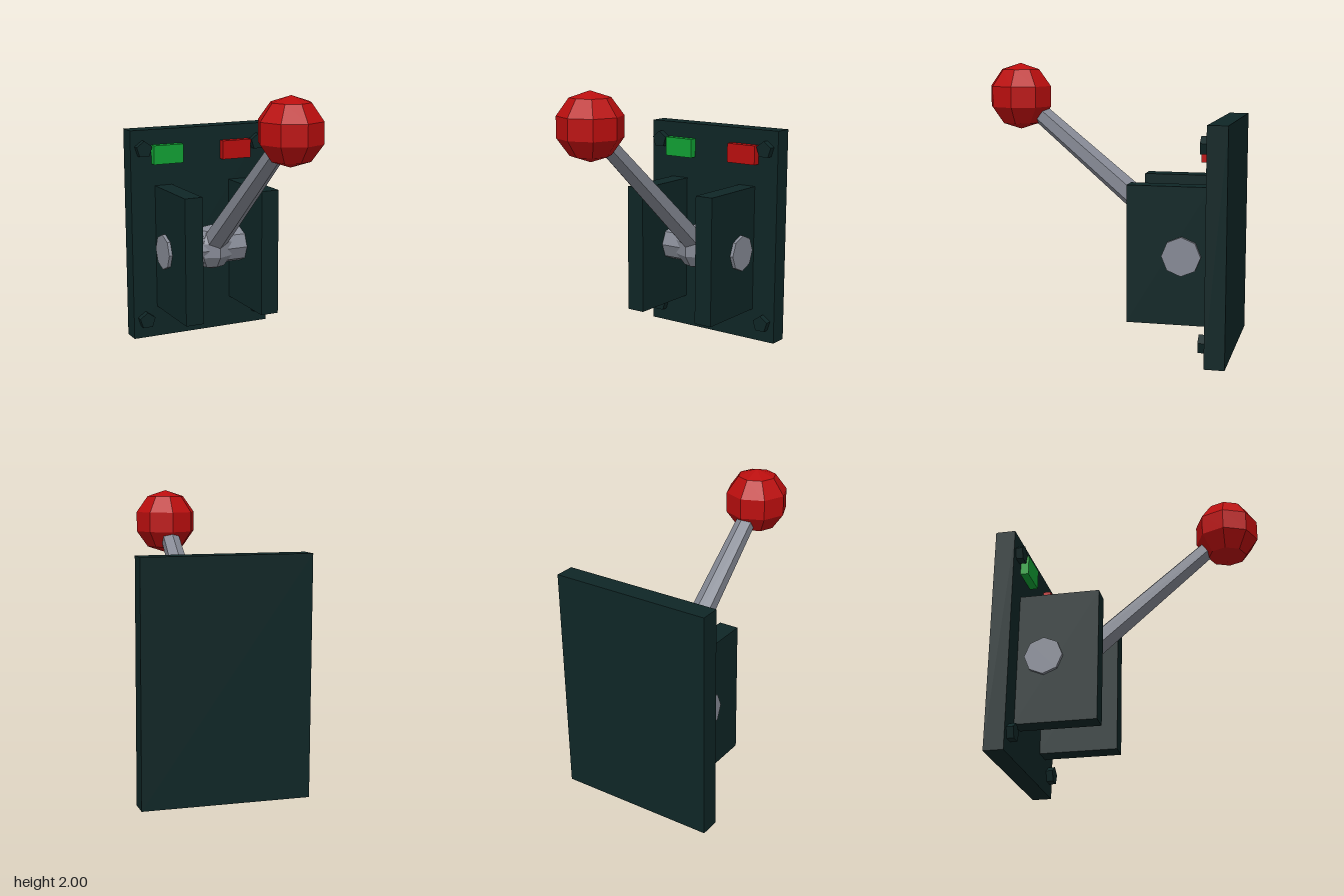
import * as THREE from 'three';

const flat = (name, color) => {
  const m = new THREE.MeshStandardMaterial({ color });
  m.name = name;
  m.flatShading = true;
  return m;
};

export function createModel() {
  const darkPaint = flat('dark teal paint', 0x0f2626);
  const steel = flat('grey steel', 0x858994);
  const red = flat('red', 0xba0e0e);
  const green = flat('green', 0x11a034);

  const model = new THREE.Group();
  model.name = 'wallLever';

  const add = (name, geometry, material, x, y, z) => {
    const mesh = new THREE.Mesh(geometry, material);
    mesh.name = name;
    mesh.position.set(x, y, z);
    model.add(mesh);
    return mesh;
  };

  // Wall plate
  add('backPlate', new THREE.BoxGeometry(1.146, 1.626, 0.14), darkPaint, 0, 0.813, -0.83);

  // Side brackets holding the axle
  for (const [side, s] of [['left', 1], ['right', -1]]) {
    add(side + 'Bracket', new THREE.BoxGeometry(0.14, 0.955, 0.575), darkPaint, s * 0.31, 0.718, -0.4775);

    // Five-sided bolts, one vertex up
    for (const [level, y] of [['Upper', 1.484], ['Lower', 0.147]]) {
      const bolt = new THREE.CylinderGeometry(0.065, 0.065, 0.06, 5).rotateX(-Math.PI / 2);
      // the turn points the cylinder's first vertex (+z) upwards
      add(side + level + 'Bolt', bolt, darkPaint, s * 0.478, y, -0.741);
    }
  }

  // Indicator lamps
  add('greenLamp', new THREE.BoxGeometry(0.24, 0.144, 0.07), green, -0.286, 1.438, -0.738);
  add('redLamp', new THREE.BoxGeometry(0.24, 0.144, 0.07), red, 0.286, 1.438, -0.738);

  // Pivot: axle and hub
  const pivot = new THREE.Vector3(0, 0.72, -0.57);
  const knobCentre = new THREE.Vector3(0, 1.764, 0.677);
  add('axle', new THREE.CylinderGeometry(0.135, 0.135, 0.81, 8).rotateZ(Math.PI / 2), steel, ...pivot);
  add('hub', new THREE.SphereGeometry(0.174, 8, 5), steel, ...pivot);

  // Tapered six-sided arm from the hub to the knob
  const reach = knobCentre.clone().sub(pivot);
  const middle = pivot.clone().add(knobCentre).multiplyScalar(0.5);
  const arm = add('leverArm', new THREE.CylinderGeometry(0.065, 0.094, reach.length(), 6), steel, ...middle);
  arm.rotation.x = Math.atan2(reach.z, reach.y);

  // Knob
  add('knob', new THREE.SphereGeometry(0.236, 8, 5), red, ...knobCentre);

  return model;
}
